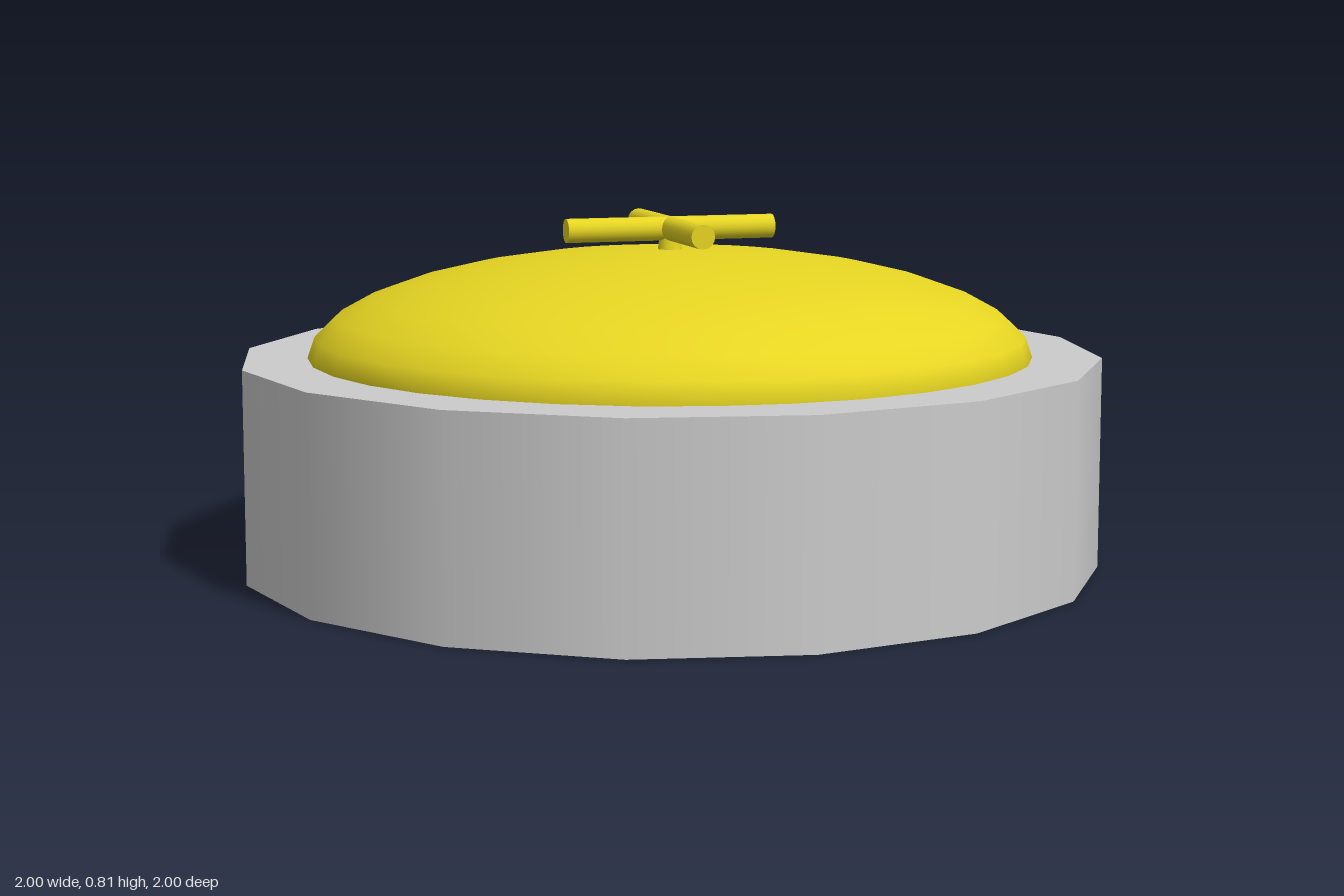
import * as THREE from 'three';

export function createModel() {
  const model = new THREE.Group();
  const grey = new THREE.MeshStandardMaterial({ color: 0xcccccc });
  const yellow = new THREE.MeshStandardMaterial({ color: 0xe6d522 });

  const add = (name, geometry, material, y) => {
    const mesh = new THREE.Mesh(geometry, material);
    mesh.name = name;
    mesh.position.y = y;
    model.add(mesh);
    return mesh;
  };

  // Sixteen-sided drum
  const baseHeight = 0.49;
  add('base', new THREE.CylinderGeometry(1, 1, baseHeight, 16), grey, baseHeight / 2);

  // Flattened half sphere resting on the drum
  const dome = new THREE.SphereGeometry(0.84, 32, 8, 0, Math.PI * 2, 0, Math.PI / 2);
  dome.scale(1, 0.245 / 0.84, 1);
  add('dome', dome, yellow, baseHeight);

  // Short stem carrying the cross handle
  add('stem', new THREE.CylinderGeometry(0.022, 0.03, 0.06, 16), yellow, 0.75);

  // Two crossed round bars
  const bar = new THREE.CylinderGeometry(0.028, 0.028, 0.5, 16);
  add('handleBarAcross', bar, yellow, 0.782).rotation.z = Math.PI / 2;
  add('handleBarFrontToBack', bar, yellow, 0.782).rotation.x = Math.PI / 2;

  return model;
}
